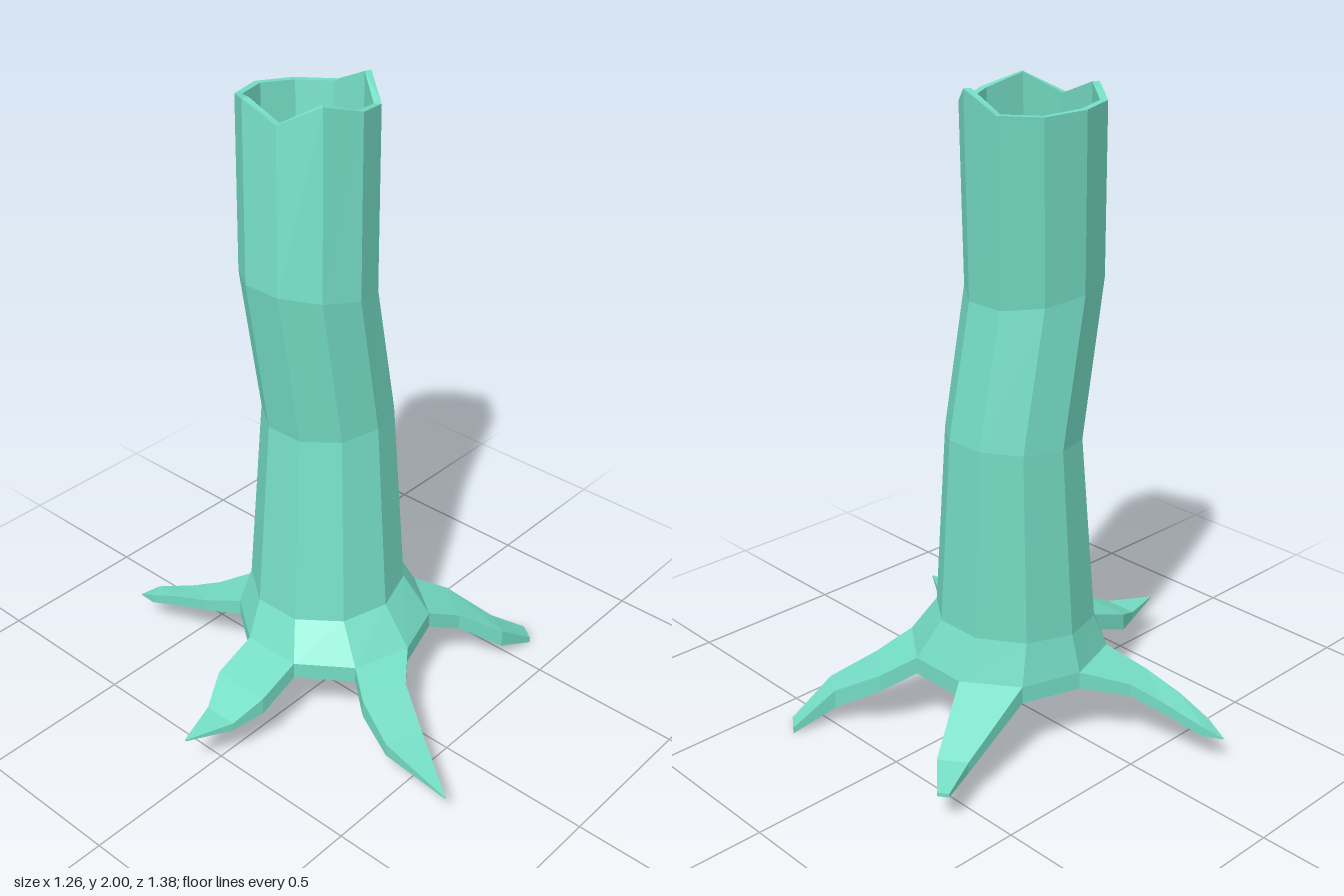
import * as THREE from 'three';

const SIDES = 10;
const bark = new THREE.MeshStandardMaterial({ color: 0x74dcc4, flatShading: true });

// Ten-sided ring; angle runs from +z towards +x, tilt slopes it along x
function ring(cx, cz, r, y, tilt = 0) {
  return Array.from({ length: SIDES }, (_, i) => {
    const a = (i / SIDES) * Math.PI * 2;
    const dx = Math.sin(a) * r;
    return [cx + dx, y + tilt * dx, cz + Math.cos(a) * r];
  });
}

// Skins a series of rings with flat faces and optional fan caps
function loft(rings, capStart, capEnd) {
  const pos = [];
  const tri = (...pts) => pts.forEach((p) => pos.push(...p));
  const n = rings[0].length;
  for (let k = 0; k < rings.length - 1; k++) {
    const a = rings[k], b = rings[k + 1];
    for (let i = 0; i < n; i++) {
      const j = (i + 1) % n;
      tri(a[i], a[j], b[j]);
      tri(a[i], b[j], b[i]);
    }
  }
  const first = rings[0], last = rings[rings.length - 1];
  for (let i = 1; i < n - 1; i++) {
    if (capStart) tri(first[0], first[i + 1], first[i]);
    if (capEnd) tri(last[0], last[i], last[i + 1]);
  }
  const g = new THREE.BufferGeometry();
  g.setAttribute('position', new THREE.Float32BufferAttribute(pos, 3));
  g.computeVertexNormals();
  return g;
}

// Root cross-section: two [x, z] edges with bottom and top heights
const section = ([ax, az, bx, bz, low, high]) => [
  [ax, low, az], [bx, low, bz], [bx, high, bz], [ax, high, az],
];

export function createModel() {
  const tree = new THREE.Group();
  tree.name = 'hollowTreeStump';

  // Trunk: recessed underside, flared foot, bent outer wall, jagged rim, hollow inside
  const jag = [1.965, 1.945, 2.0, 1.945, 1.945, 1.955, 1.96, 1.99, 1.945, 2.0];
  const jagged = (r) => ring(0.065, -0.135, r, 0).map(([x, , z], i) => [x, jag[i], z]);
  const foot = ring(0.045, -0.015, 0.31, 0.205);
  const trunkRings = [
    ring(0.05, -0.02, 0.18, 0.32),
    foot,
    ring(0.045, -0.015, 0.31, 0.26),
    ring(0.05, -0.05, 0.247, 0.38, 0.05),
    ring(0.085, -0.08, 0.204, 0.98, 0.06),
    ring(0.015, -0.092, 0.203, 1.43, -0.18),
    jagged(0.204),
    jagged(0.182),
    ring(0.015, -0.092, 0.181, 1.43, -0.18),
    ring(0.085, -0.08, 0.182, 0.98, 0.06),
    ring(0.05, -0.02, 0.18, 0.33),
  ];
  const trunk = new THREE.Mesh(loft(trunkRings, true, true), bark);
  trunk.name = 'trunk';
  tree.add(trunk);

  // Roots: each grows from one side of the foot through sections [ax, az, bx, bz, low, high]
  const roots = {
    frontLeftRoot: [1, [
      [0.34, 0.275, 0.43, 0.15, 0.15, 0.205],
      [0.455, 0.37, 0.5, 0.29, 0.06, 0.12],
      [0.595, 0.39, 0.63, 0.34, 0, 0.02],
    ]],
    backLeftRoot: [3, [
      [0.54, -0.235, 0.485, -0.31, 0.105, 0.14],
      [0.62, -0.325, 0.6, -0.355, 0.1, 0.112],
    ]],
    backRoot: [5, [
      [-0.07, -0.43, -0.175, -0.4, 0.175, 0.215],
      [-0.11, -0.52, -0.19, -0.52, 0.14, 0.178],
      [-0.15, -0.65, -0.2, -0.63, 0.1, 0.13],
      [-0.188, -0.695, -0.192, -0.695, 0.093, 0.097],
    ]],
    rightRoot: [7, [
      [-0.39, -0.11, -0.39, 0.08, 0.15, 0.207],
      [-0.49, -0.06, -0.49, 0.05, 0.13, 0.158],
      [-0.63, -0.017, -0.63, -0.013, 0.143, 0.147],
    ]],
    frontRightRoot: [9, [
      [-0.21, 0.33, -0.06, 0.375, 0.17, 0.228],
      [-0.24, 0.45, -0.12, 0.49, 0.105, 0.148],
      [-0.257, 0.69, -0.253, 0.69, 0.098, 0.102],
    ]],
  };
  for (const [name, [side, sections]] of Object.entries(roots)) {
    const a = foot[side], b = foot[(side + 1) % SIDES];
    const all = [[a[0], a[2], b[0], b[2], 0.205, 0.26], ...sections];
    const root = new THREE.Mesh(loft(all.map(section), false, true), bark);
    root.name = name;
    tree.add(root);
  }
  return tree;
}
